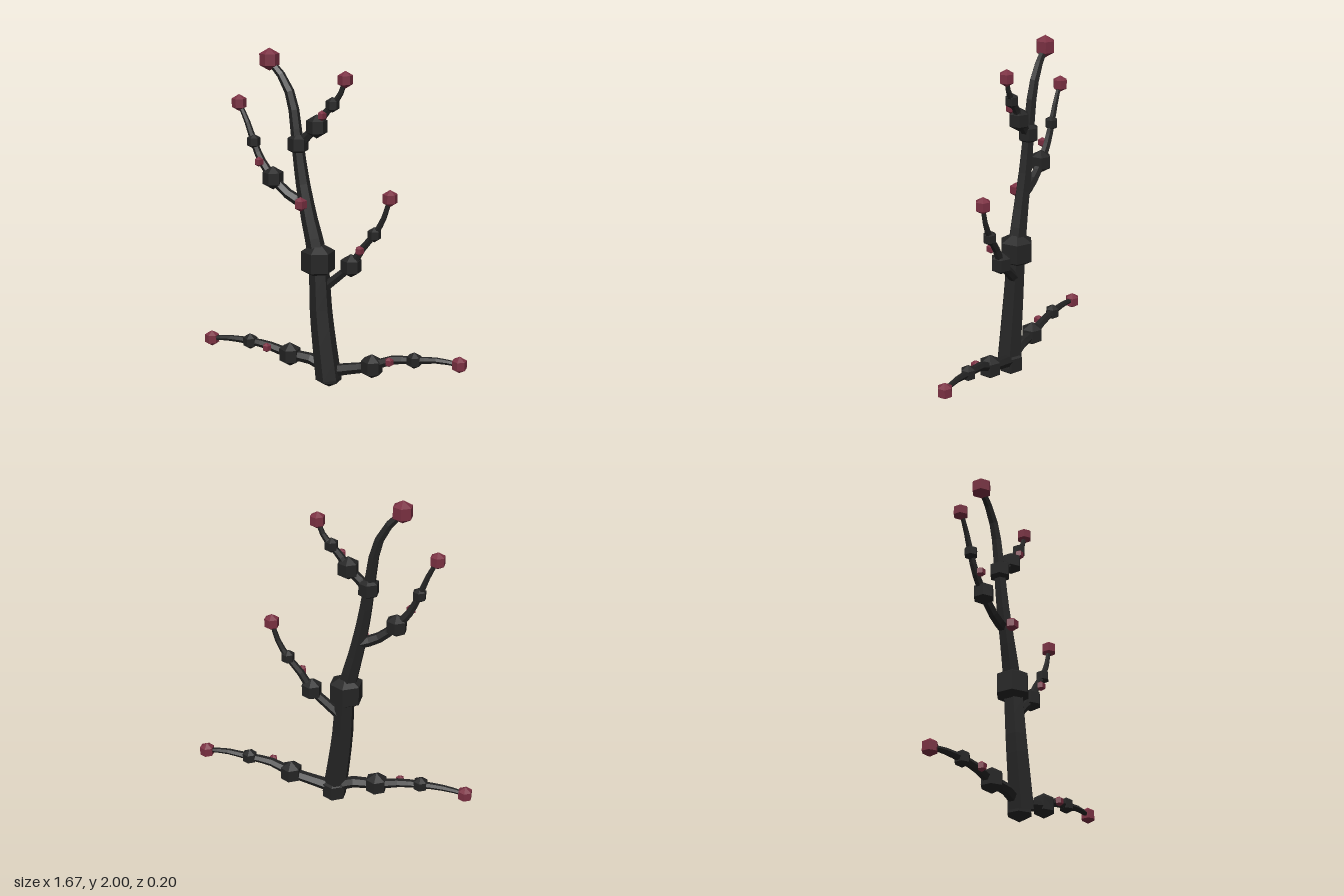
import * as THREE from 'three';

const bark = new THREE.MeshStandardMaterial({ color: 0x242424, flatShading: true });
bark.name = 'charcoal bark';
const berry = new THREE.MeshStandardMaterial({ color: 0x7a3042, flatShading: true });
berry.name = 'dark red bud';

// Six-sided tube through [x, y, z] points whose radius tapers along the given list
function taperedTube(name, points, radii, segments) {
  const curve = new THREE.CatmullRomCurve3(points.map(p => new THREE.Vector3(...p)));
  const geo = new THREE.TubeGeometry(curve, segments, 1, 6, false);
  const pos = geo.attributes.position;
  const v = new THREE.Vector3();
  for (let i = 0; i <= segments; i++) {
    const u = i / segments;
    const centre = curve.getPointAt(u);
    const t = curve.getUtoTmapping(u) * (radii.length - 1);
    const k = Math.min(Math.floor(t), radii.length - 2);
    const r = THREE.MathUtils.lerp(radii[k], radii[k + 1], t - k);
    for (let j = 0; j <= 6; j++) {
      const n = i * 7 + j;
      v.fromBufferAttribute(pos, n).sub(centre).multiplyScalar(r).add(centre);
      pos.setXYZ(n, v.x, v.y, v.z);
    }
  }
  const mesh = new THREE.Mesh(geo, bark);
  mesh.name = name;
  return mesh;
}

// Faceted ball with a corner facing the back
function ball(name, material, x, y, z, r, sides = 6) {
  const geo = new THREE.SphereGeometry(r, sides, 3);
  geo.rotateY(-Math.PI / 2);
  const mesh = new THREE.Mesh(geo, material);
  mesh.name = name;
  mesh.position.set(x, y, z);
  return mesh;
}

// Each branch: path from root to tip; indices 2 and 4 carry knots, 3 a bud, the last a tip
const branches = [
  { name: 'lowerLeftBranch', knots: [0.075, 0.05], root: 0.04,
    path: [[0, 0.1], [0.1, 0.125], [0.27, 0.17], [0.39, 0.225], [0.53, 0.245], [0.68, 0.265], [0.8, 0.258]] },
  { name: 'lowerRightBranch', knots: [0.075, 0.05], root: 0.04,
    path: [[0, 0.1], [-0.1, 0.152], [-0.26, 0.165], [-0.4, 0.195], [-0.53, 0.205], [-0.7, 0.2], [-0.8, 0.182]] },
  { name: 'middleLeftBranch', knots: [0.07, 0.045], root: 0.032,
    path: [[-0.04, 0.61], [0.04, 0.68], [0.135, 0.77], [0.2, 0.875], [0.275, 0.97], [0.33, 1.07], [0.365, 1.19]] },
  { name: 'middleRightBranch', knots: [0.07, 0.045], root: 0.035,
    path: [[-0.15, 1.11], [-0.25, 1.15], [-0.36, 1.245], [-0.435, 1.34], [-0.485, 1.45], [-0.53, 1.57], [-0.58, 1.67]] },
  { name: 'upperLeftBranch', knots: [0.07, 0.045], root: 0.032,
    path: [[-0.2, 1.44], [-0.14, 1.51], [-0.08, 1.57], [-0.035, 1.64], [0.015, 1.7], [0.06, 1.76], [0.09, 1.845]] },
];

function makeBranch({ name, knots, root, path }) {
  const group = new THREE.Group();
  group.name = name;
  const last = path.length - 1;
  const points = path.map(([x, y], i) => [x, y, -0.005 - 0.015 * i / last]);
  const radii = path.map((_, i) => THREE.MathUtils.lerp(root, 0.013, i / last));
  group.add(taperedTube('branchStem', points, radii, 12));
  group.add(ball('largeKnot', bark, ...path[2], -0.008, knots[0]));
  group.add(ball('smallKnot', bark, ...path[4], -0.013, knots[1]));
  group.add(ball('sideBud', berry, ...path[3], 0.022, 0.03, 5));
  group.add(ball('tipBud', berry, ...path[last], -0.022, 0.05));
  return group;
}

export function createModel() {
  const model = new THREE.Group();
  model.name = 'knottedTree';

  // Leaning trunk, tapering to a bent crown
  model.add(taperedTube('trunk',
    [[0.003, 0.06, 0.015], [-0.045, 0.45, 0.01], [-0.07, 0.78, 0], [-0.13, 1.05, 0], [-0.17, 1.25, -0.005],
      [-0.2, 1.46, -0.008], [-0.235, 1.7, -0.015], [-0.285, 1.82, -0.018], [-0.38, 1.93, -0.02]],
    [0.077, 0.067, 0.058, 0.047, 0.041, 0.035, 0.03, 0.026, 0.02], 18));

  // Trunk knots, front bud and crown tip
  model.add(ball('baseKnot', bark, 0, 0.085, 0, 0.085));
  model.add(ball('trunkKnot', bark, -0.07, 0.78, 0, 0.115));
  model.add(ball('upperKnot', bark, -0.197, 1.46, -0.008, 0.07));
  model.add(ball('trunkBud', berry, -0.157, 1.12, 0.05, 0.043, 5));
  model.add(ball('crownTip', berry, -0.38, 1.934, -0.02, 0.066));

  for (const branch of branches) model.add(makeBranch(branch));
  return model;
}
